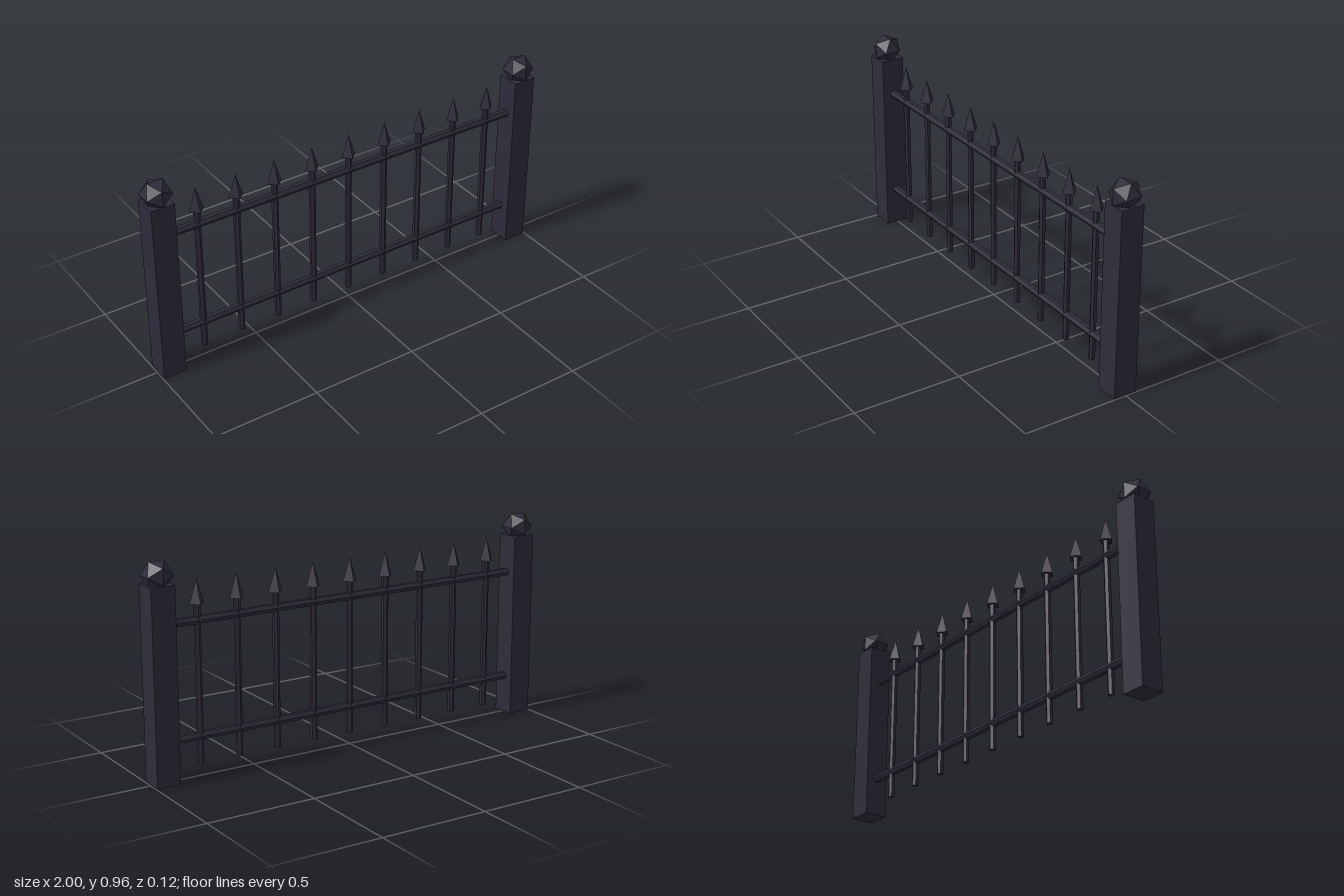
import * as THREE from 'three';

export function createModel() {
  const fence = new THREE.Group();
  fence.name = 'fence';
  const iron = new THREE.MeshStandardMaterial({ color: 0x2e2c39, flatShading: true });
  iron.name = 'dark iron';

  const add = (name, geometry, x, y) => {
    const mesh = new THREE.Mesh(geometry, iron);
    mesh.name = name;
    mesh.position.set(x, y, 0);
    fence.add(mesh);
  };

  // Square end posts with faceted ball finials
  const postH = 0.865;
  const post = new THREE.BoxGeometry(0.11, postH, 0.11);
  const finial = new THREE.IcosahedronGeometry(0.07, 0);
  for (const [side, x] of [['left', 0.94], ['right', -0.94]]) {
    add(`${side}Post`, post, x, postH / 2);
    add(`${side}Finial`, finial, x, 0.904);
  }

  // Two hexagonal rails running between the posts
  const rail = new THREE.CylinderGeometry(0.0187, 0.0187, 1.88, 6).rotateZ(Math.PI / 2);
  add('lowerRail', rail, 0, 0.18);
  add('upperRail', rail, 0, 0.69);

  // Nine pickets, each topped with a four-sided spearhead
  const bottom = 0.055, neck = 0.76, tip = 0.868;
  const picket = new THREE.CylinderGeometry(0.015, 0.015, neck - bottom, 6);
  const spear = new THREE.ConeGeometry(0.035, tip - neck, 4);
  for (let i = -4; i <= 4; i++) {
    add(`picket${i + 5}`, picket, i * 0.19, (bottom + neck) / 2);
    add(`spearhead${i + 5}`, spear, i * 0.19, (neck + tip) / 2);
  }
  return fence;
}
